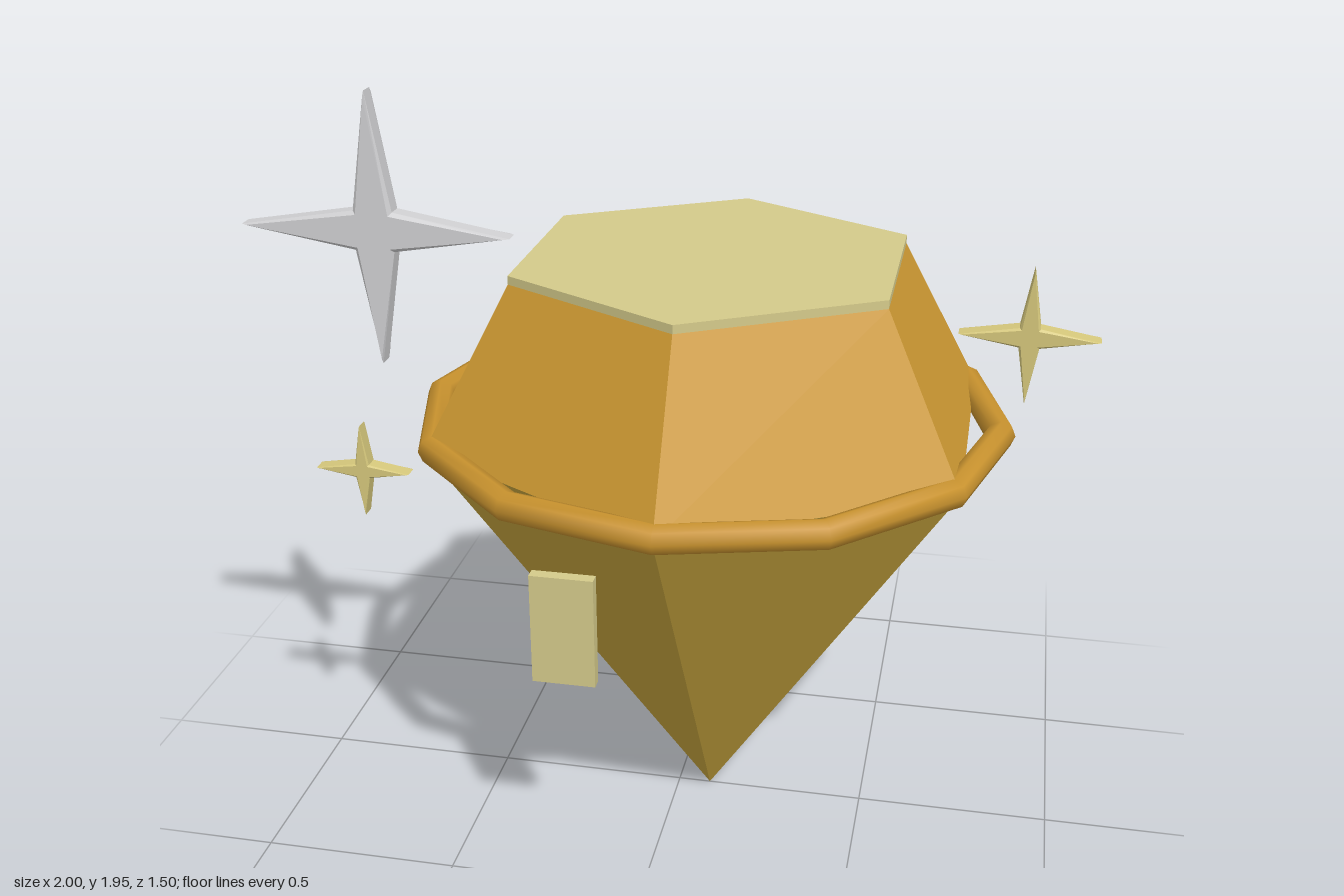
import * as THREE from 'three';

const paint = (name, color, flatShading = true) => {
  const m = new THREE.MeshStandardMaterial({ color, flatShading });
  m.name = name;
  return m;
};

// Four-pointed sparkle with a thin bevelled rim, centred on its own origin
function sparkleGeometry(radius, waist, thickness, bevel) {
  const shape = new THREE.Shape();
  for (let i = 0; i < 8; i++) {
    const a = (i * Math.PI) / 4;
    const r = i % 2 ? waist : radius - bevel * 1.41;
    const x = Math.cos(a) * r, y = Math.sin(a) * r;
    if (i) shape.lineTo(x, y);
    else shape.moveTo(x, y);
  }
  shape.closePath();
  const depth = thickness - 2 * bevel;
  const geometry = new THREE.ExtrudeGeometry(shape, {
    depth, bevelEnabled: true, bevelSize: bevel, bevelThickness: bevel, bevelSegments: 1,
  });
  return geometry.translate(0, 0, -depth / 2);
}

export function createModel() {
  const model = new THREE.Group();
  model.name = 'gem';

  const amber = paint('amber', 0xcc9832);
  const gold = paint('gold', 0xc8a63e);
  const ringGold = paint('ringGold', 0xc8922e, false);
  const cream = paint('cream', 0xd4ca8a);
  const paleGold = paint('paleGold', 0xd6c87c);
  const silver = paint('silver', 0xd0d0d2);

  const add = (name, geometry, material, x, y, z) => {
    const mesh = new THREE.Mesh(geometry, material);
    mesh.name = name;
    mesh.position.set(x, y, z);
    model.add(mesh);
    return mesh;
  };

  const cx = 0.085, girdleY = 1.11, girdleR = 0.735, tableR = 0.513;

  // Six-sided stone: pointed base, sloping crown, flat table on top
  add('pavilion', new THREE.CylinderGeometry(girdleR, 0, girdleY, 6, 1, true), gold, cx, girdleY / 2, 0);
  add('crown', new THREE.CylinderGeometry(tableR, girdleR, 1.505 - girdleY, 6, 1, true), amber, cx, (1.505 + girdleY) / 2, 0);
  add('table', new THREE.CylinderGeometry(tableR, tableR, 0.025, 6), cream, cx, 1.5135, 0);

  // Twelve-sided ring around the widest part
  const ring = new THREE.TorusGeometry(0.714, 0.036, 8, 12).rotateX(Math.PI / 2);
  add('girdleRing', ring, ringGold, cx, girdleY, 0);

  // Small glint plate in front of the base
  add('glint', new THREE.BoxGeometry(0.155, 0.285, 0.03), cream, -0.178, 0.747, 0.515);

  // Floating sparkles
  add('largeSparkle', sparkleGeometry(0.328, 0.056, 0.056, 0.009), silver, -0.672, 1.622, 0.26);
  add('rightSparkle', sparkleGeometry(0.156, 0.026, 0.046, 0.005), paleGold, 0.843, 1.465, 0.26);
  add('leftSparkle', sparkleGeometry(0.12, 0.02, 0.042, 0.004), paleGold, -0.75, 1.0, 0.26);

  return model;
}
